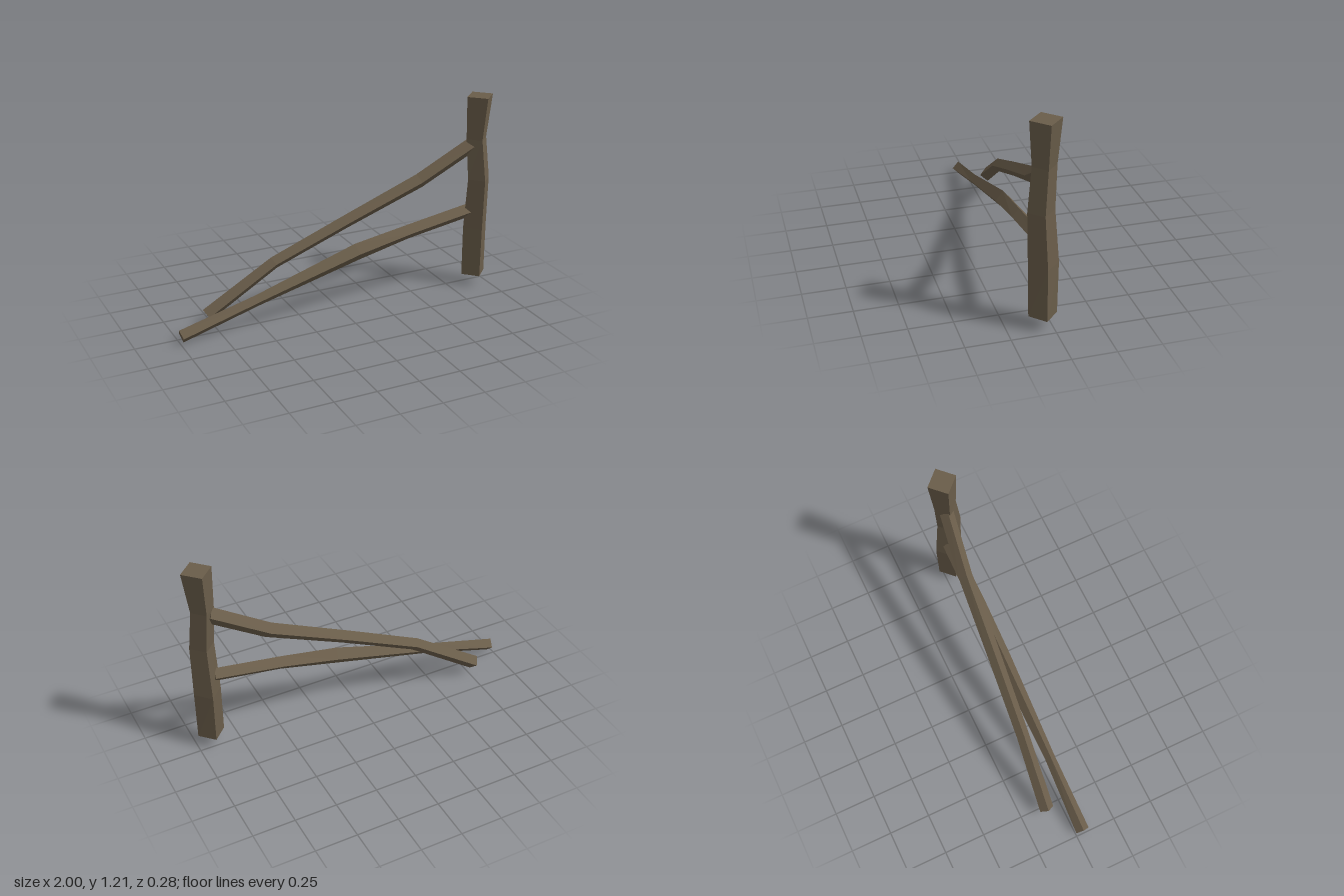
import * as THREE from 'three';

const wood = new THREE.MeshStandardMaterial({ color: 0x6a5d4a, flatShading: true });
wood.name = 'weathered wood';

// Lofts a diamond cross-section along sections [x, y, z, halfAcross, halfDepth].
// Corners lie along the in-plane normal of the path and along z.
function timber(name, sections, fixedNormal) {
  const rings = sections.map(([x, y, z, a, b], i) => {
    const p = sections[Math.max(i - 1, 0)];
    const q = sections[Math.min(i + 1, sections.length - 1)];
    const n = fixedNormal || new THREE.Vector2(p[1] - q[1], q[0] - p[0]).normalize();
    return [
      [x + n.x * a, y + n.y * a, z],
      [x, y, z + b],
      [x - n.x * a, y - n.y * a, z],
      [x, y, z - b],
    ];
  });
  const pos = [];
  const quad = (a, b, c, d) => pos.push(...a, ...b, ...c, ...a, ...c, ...d);
  for (let i = 0; i < rings.length - 1; i++) {
    for (let k = 0; k < 4; k++) {
      const m = (k + 1) % 4;
      quad(rings[i][k], rings[i][m], rings[i + 1][m], rings[i + 1][k]);
    }
  }
  // end caps
  const s = rings[0];
  quad(s[3], s[2], s[1], s[0]);
  quad(...rings[rings.length - 1]);

  const geometry = new THREE.BufferGeometry();
  geometry.setAttribute('position', new THREE.Float32BufferAttribute(pos, 3));
  geometry.computeVertexNormals();
  const mesh = new THREE.Mesh(geometry, wood);
  mesh.name = name;
  return mesh;
}

export function createModel() {
  const group = new THREE.Group();
  group.name = 'brokenFence';

  // upright post, wavering in width
  group.add(timber('post', [
    [0.91, 0.075, 0.05, 0.08, 0.08],
    [0.91, 0.385, 0.05, 0.081, 0.085],
    [0.913, 0.7, 0.067, 0.073, 0.075],
    [0.898, 0.95, 0.048, 0.068, 0.068],
    [0.912, 1.21, 0.048, 0.088, 0.088],
  ], new THREE.Vector2(-1, 0)));

  // fallen rails, from the loose end up to the post
  group.add(timber('upperRail', [
    [-0.785, 0.073, -0.097, 0.044, 0.043],
    [-0.375, 0.338, -0.063, 0.04, 0.038],
    [0.07, 0.528, -0.03, 0.042, 0.04],
    [0.54, 0.72, 0.003, 0.048, 0.042],
    [0.87, 0.91, 0.043, 0.05, 0.042],
  ]));
  group.add(timber('lowerRail', [
    [-0.989, 0.044, 0.042, 0.041, 0.041],
    [-0.525, 0.175, 0.046, 0.036, 0.031],
    [0.11, 0.355, 0.04, 0.055, 0.047],
    [0.45, 0.425, 0.044, 0.045, 0.044],
    [0.87, 0.492, 0.042, 0.045, 0.042],
  ]));

  return group;
}
